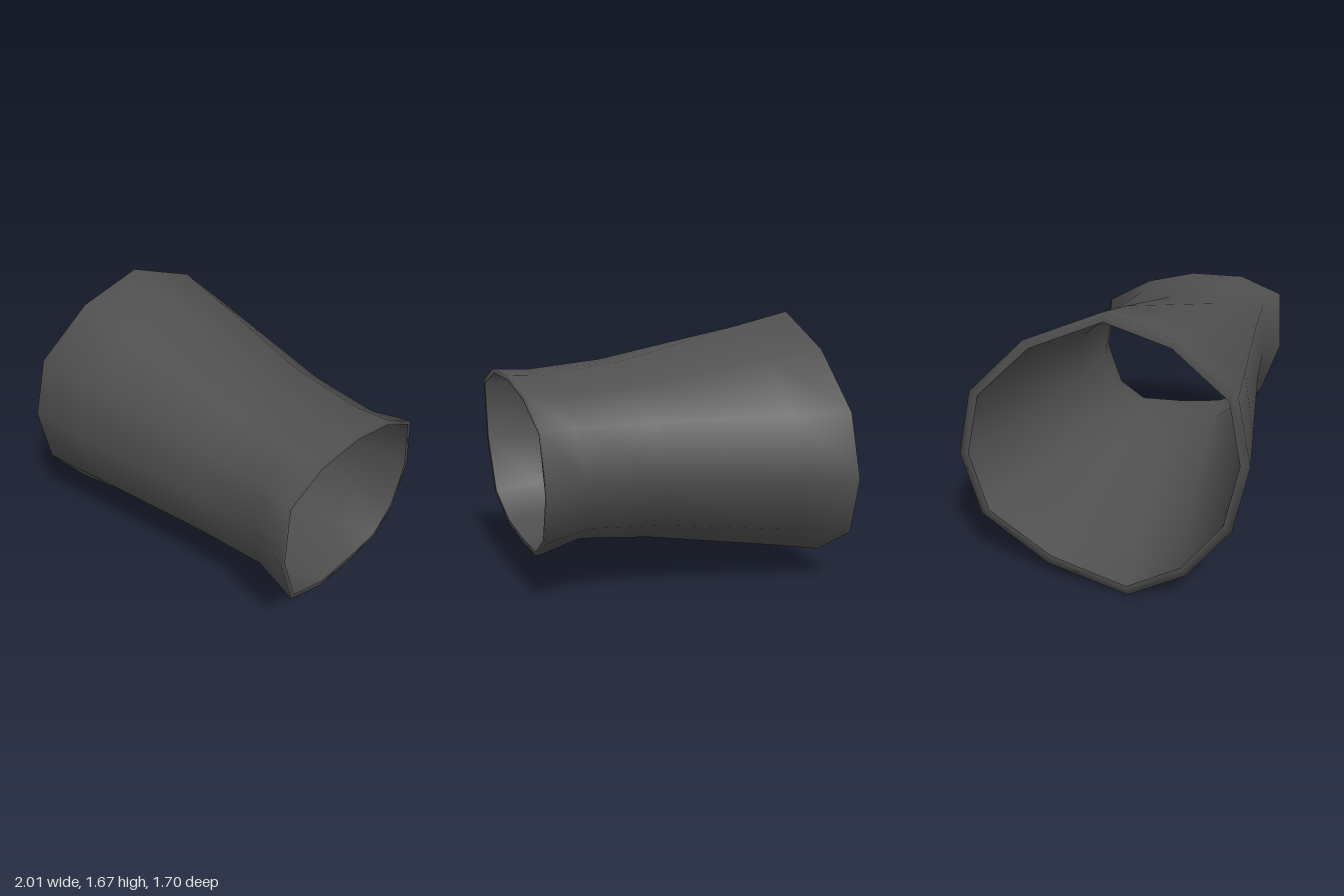
import * as THREE from 'three';

// Twelve-sided key cross-sections as [z, y], counter-clockwise seen from +x
const WIDE = [[0.03, 1.67], [0.43, 1.565], [0.765, 1.3], [0.85, 0.925], [0.775, 0.53], [0.53, 0.2],
  [0.19, 0], [-0.31, 0.11], [-0.725, 0.36], [-0.85, 0.73], [-0.77, 1.125], [-0.43, 1.465]];
const NECK = [[0.13, 1.32], [0.45, 1.32], [0.66, 1.21], [0.68, 0.86], [0.595, 0.52], [0.38, 0.355],
  [0.07, 0.325], [-0.17, 0.35], [-0.39, 0.48], [-0.46, 0.77], [-0.42, 1.08], [-0.2, 1.235]];
const CUFF = [[0.12, 1.33], [0.47, 1.33], [0.745, 1.22], [0.77, 0.83], [0.65, 0.47], [0.36, 0.335],
  [0.05, 0.3], [-0.25, 0.3], [-0.43, 0.43], [-0.535, 0.73], [-0.48, 1.09], [-0.2, 1.25]];

const mix = (a, b, f) => a.map(([z, y], i) => [z + (b[i][0] - z) * f, y + (b[i][1] - y) * f]);

// Places a section in space on a plane tilted by slopes in y and z
const place = (section, x, slopeY, slopeZ) =>
  section.map(([z, y]) => new THREE.Vector3(x + slopeY * (y - 0.8) + slopeZ * z, y, z));

// Moves a ring towards its centre by a wall thickness
function inset(ring, thickness) {
  const centre = ring.reduce((s, p) => s.add(p), new THREE.Vector3()).divideScalar(ring.length);
  return ring.map((p) => p.clone().addScaledVector(centre.clone().sub(p).normalize(), thickness));
}

// Joins rings into a smooth skin
function loft(rings) {
  const n = rings[0].length;
  const index = [];
  for (let i = 0; i < rings.length - 1; i++) {
    for (let j = 0; j < n; j++) {
      const k = (j + 1) % n;
      const a = i * n + j, b = i * n + k, c = a + n, d = b + n;
      index.push(a, b, d, a, d, c);
    }
  }
  const geometry = new THREE.BufferGeometry().setFromPoints(rings.flat());
  geometry.setIndex(index);
  geometry.computeVertexNormals();
  return geometry;
}

export function createModel() {
  const group = new THREE.Group();
  group.name = 'sleeve';
  const charcoal = new THREE.MeshStandardMaterial({ color: 0x505050 });
  charcoal.name = 'charcoal';

  const outer = [
    place(WIDE, -0.93, 0.075, -0.05),
    place(mix(WIDE, NECK, 0.24), -0.59, 0.1, -0.02),
    place(mix(WIDE, NECK, 0.83), 0.25, 0.06, 0.05),
    place(NECK, 0.71, 0.11, 0.04),
    place(CUFF, 0.97, 0.03, 0.04),
  ];
  const thickness = [0.055, 0.04, 0.02, 0.012, 0.03];
  const inner = outer.map((ring, i) => inset(ring, thickness[i]));

  const add = (name, rings) => {
    const mesh = new THREE.Mesh(loft(rings), charcoal);
    mesh.name = name;
    group.add(mesh);
  };
  // Outside wall together with both rims, then the lining
  add('outerWall', [inner[0], ...outer, inner[4]]);
  add('innerWall', [...inner].reverse());
  return group;
}
